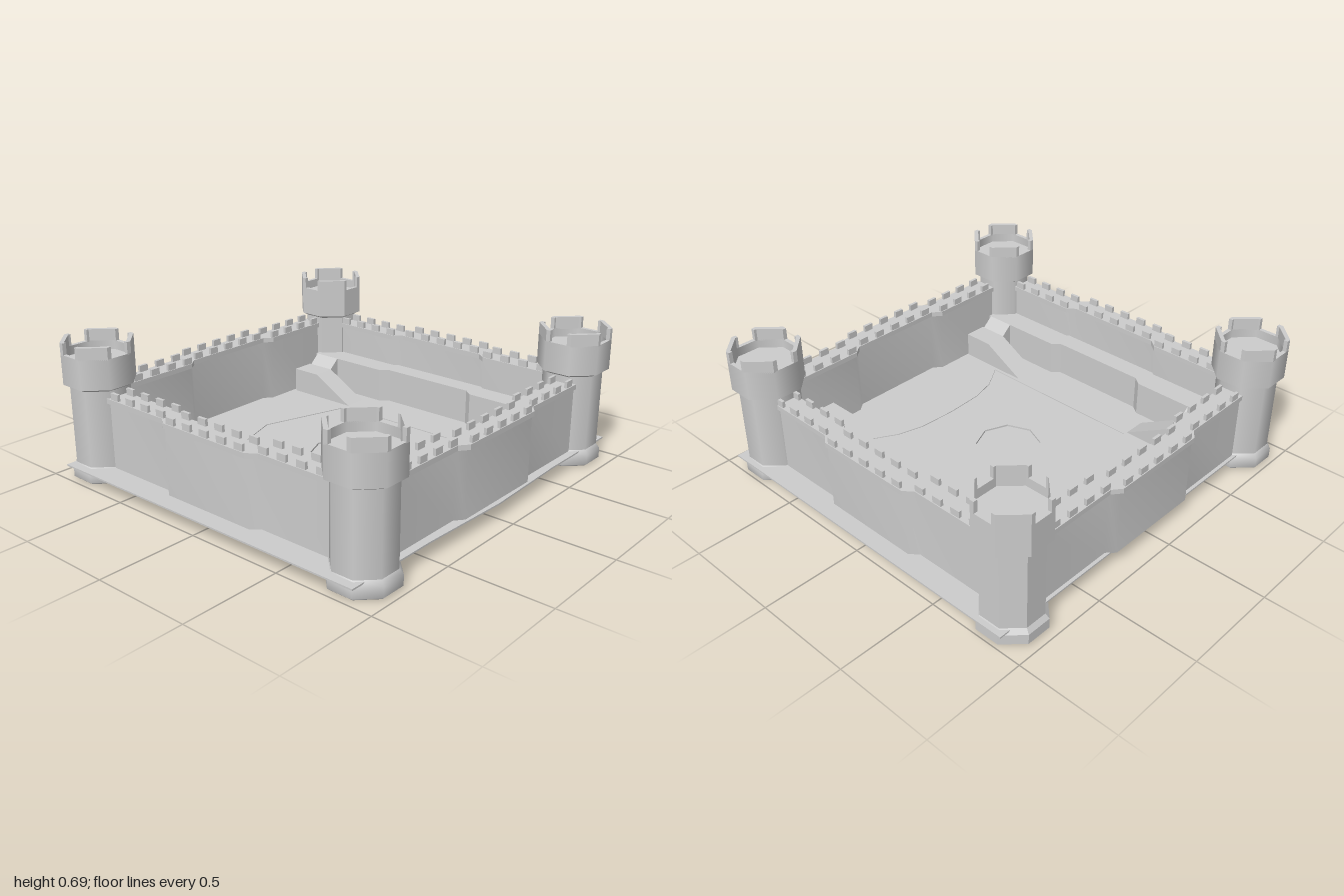
import * as THREE from 'three';

const stone = new THREE.MeshStandardMaterial({ color: 0xcccccc });
stone.name = 'stone';
stone.side = THREE.DoubleSide;

function add(parent, geometry, name) {
  const mesh = new THREE.Mesh(geometry, stone);
  mesh.name = name;
  parent.add(mesh);
  return mesh;
}

const shapeOf = (pts) => new THREE.Shape(pts.map(([x, z]) => new THREE.Vector2(x, -z)));

// Extrudes a plan drawn in x and z between two heights
function slab(pts, y0, y1, hole) {
  const shape = shapeOf(pts);
  if (hole) shape.holes.push(new THREE.Path(shapeOf(hole).getPoints()));
  const g = new THREE.ExtrudeGeometry(shape, { depth: y1 - y0, bevelEnabled: false });
  return g.rotateX(-Math.PI / 2).translate(0, y0, 0);
}

// Plan line of a wall face whose middle steps outwards by `bulge`
function facePath(half, d, bulge) {
  return [[-half, d], [-0.3, d], [-0.255, d + bulge], [0.255, d + bulge], [0.3, d], [half, d]];
}

// Smooth upright band along a plan path
function band(path, y0, y1) {
  const pos = [], index = [];
  path.forEach(([x, z], i) => {
    pos.push(x, y0, z, x, y1, z);
    const a = i * 2;
    if (i < path.length - 1) index.push(a, a + 2, a + 1, a + 1, a + 2, a + 3);
  });
  const g = new THREE.BufferGeometry();
  g.setAttribute('position', new THREE.Float32BufferAttribute(pos, 3));
  g.setIndex(index);
  g.computeVertexNormals();
  return g;
}

function makeWall(half) {
  const wall = new THREE.Group();
  wall.name = 'curtainWall';
  const inner = 0.77, outer = 0.885, bulge = 0.035;
  add(wall, band(facePath(half, outer - 0.012, bulge), 0.075, 0.415), 'outerWallFace');
  add(wall, band(facePath(half, inner + 0.012, bulge).reverse(), 0.075, 0.415), 'innerWallFace');
  const plan = [...facePath(half, outer, bulge), ...facePath(half, inner, bulge).reverse()];
  add(wall, slab(plan, 0.41, 0.435), 'wallWalk');
  // Two rows of merlons
  for (let i = -6; i <= 6; i++) {
    const step = Math.abs(i) < 3 ? bulge : 0;
    for (const d of [inner + 0.012, outer - 0.012]) {
      add(wall, new THREE.BoxGeometry(0.05, 0.04, 0.015), 'merlon')
        .position.set(i * 0.107, 0.448, d + step);
    }
  }
  return wall;
}

// Octagonal tower; profile radii are measured to the flat sides
function makeTower(flat) {
  const tower = new THREE.Group();
  tower.name = 'cornerTower';
  const turned = (pts, name) => {
    const profile = pts.map(([r, y]) => new THREE.Vector2(r / Math.cos(Math.PI / 8), y));
    let g = new THREE.LatheGeometry(profile, 8, Math.PI / 8);
    if (flat) {
      g = g.toNonIndexed();
      g.computeVertexNormals();
    }
    add(tower, g, name);
  };
  turned([[0, 0], [0.138, 0]], 'towerUnderside');
  turned([[0.138, 0], [0.152, 0.012], [0.152, 0.062], [0.135, 0.085]], 'towerFoot');
  turned([[0.135, 0.08], [0.135, 0.475]], 'towerShaft');
  turned([[0.135, 0.47], [0.163, 0.487]], 'crownCorbel');
  turned([[0.163, 0.485], [0.163, 0.635]], 'crownWall');
  turned([[0.163, 0.635], [0.143, 0.635]], 'crownRim');
  turned([[0.143, 0.635], [0.143, 0.59]], 'crownInnerWall');
  turned([[0.143, 0.59], [0, 0.59]], 'towerDeck');
  // Four merlons wrapped round the diagonal sides
  const a = 0.163, b = 0.143, k = Math.tan(Math.PI / 8);
  const plan = [[a, 0.046], [a, a * k], [a * k, a], [0.046, a],
    [0.046, b], [b * k, b], [b, b * k], [b, 0.046]];
  for (let i = 0; i < 4; i++) {
    add(tower, slab(plan, 0.63, 0.692), 'towerMerlon').rotation.y = i * Math.PI / 2;
  }
  return tower;
}

// Raised walk along the inside of a wall, with a ramp at each end
function makeLedge() {
  const ledge = new THREE.Group();
  ledge.name = 'innerLedge';
  const front = [[-0.77, 0.662], [-0.3, 0.662], [-0.255, 0.697], [0.255, 0.697], [0.3, 0.662], [0.77, 0.662]];
  add(ledge, slab([...front, [0.77, 0.8], [-0.77, 0.8]], 0.075, 0.26), 'ledgeWalk');
  for (const s of [-1, 1]) {
    const side = new THREE.Shape([[0.77, 0.075], [0.77, 0.21], [0.61, 0.21], [0.377, 0.08], [0.377, 0.075]]
      .map(([x, y]) => new THREE.Vector2(s * x, y)));
    const ramp = new THREE.ExtrudeGeometry(side, { depth: 0.12, bevelEnabled: false });
    add(ledge, ramp.translate(0, 0, 0.485), 'ramp');
    // Sloped link from the ramp landing up to the ledge
    const link = new THREE.Shape([[0.605, 0.075], [0.605, 0.21], [0.662, 0.26], [0.662, 0.075]]
      .map(([z, y]) => new THREE.Vector2(-z, y)));
    const g = new THREE.ExtrudeGeometry(link, { depth: 0.15, bevelEnabled: false }).rotateY(Math.PI / 2);
    add(ledge, g.translate(s > 0 ? 0.61 : -0.76, 0, 0), 'rampLink');
  }
  return ledge;
}

export function createModel() {
  const castle = new THREE.Group();
  castle.name = 'castle';

  // Floor with a shallow court and a sunken octagon
  const court = [[-0.525, 0], [-0.375, -0.47], [0.54, -0.47], [0.46, -0.33], [0.425, -0.2], [0.415, 0],
    [0.425, 0.2], [0.46, 0.33], [0.54, 0.46], [-0.375, 0.46]];
  const octagon = [];
  for (let i = 0; i < 8; i++) {
    const t = i * Math.PI / 4;
    octagon.push([0.005 + 0.163 * Math.cos(t), 0.163 * Math.sin(t)]);
  }
  add(castle, slab([[-0.895, -1], [0.905, -1], [0.905, -0.5], [0.925, 0], [0.905, 0.5], [0.905, 1], [-0.895, 1]],
    0.072, 0.08, court), 'floor');
  add(castle, slab(court, 0.066, 0.076, octagon), 'courtFloor');
  add(castle, slab(octagon, 0.057, 0.067), 'octagonFloor');

  // Walls: turn, outward shift and sideways shift
  for (const [turn, dx, dz] of [[0, 0, 0], [1, -0.007, -0.02], [2, 0, -0.008], [3, -0.005, -0.02]]) {
    const wall = makeWall(0.7);
    wall.rotation.y = turn * Math.PI / 2;
    wall.position.set(dx, 0, dz);
    castle.add(wall);
  }

  // Ledges inside the front and back walls
  for (const turn of [0, Math.PI]) {
    const ledge = makeLedge();
    ledge.rotation.y = turn;
    ledge.position.z = -0.007;
    castle.add(ledge);
  }

  // Corner towers, one of them hard-edged
  for (const [x, z, flat] of [[-0.82, 0.82, false], [0.815, 0.82, false], [0.79, -0.835, false], [-0.805, -0.835, true]]) {
    const tower = makeTower(flat);
    tower.position.set(x, 0, z);
    castle.add(tower);
  }
  return castle;
}
